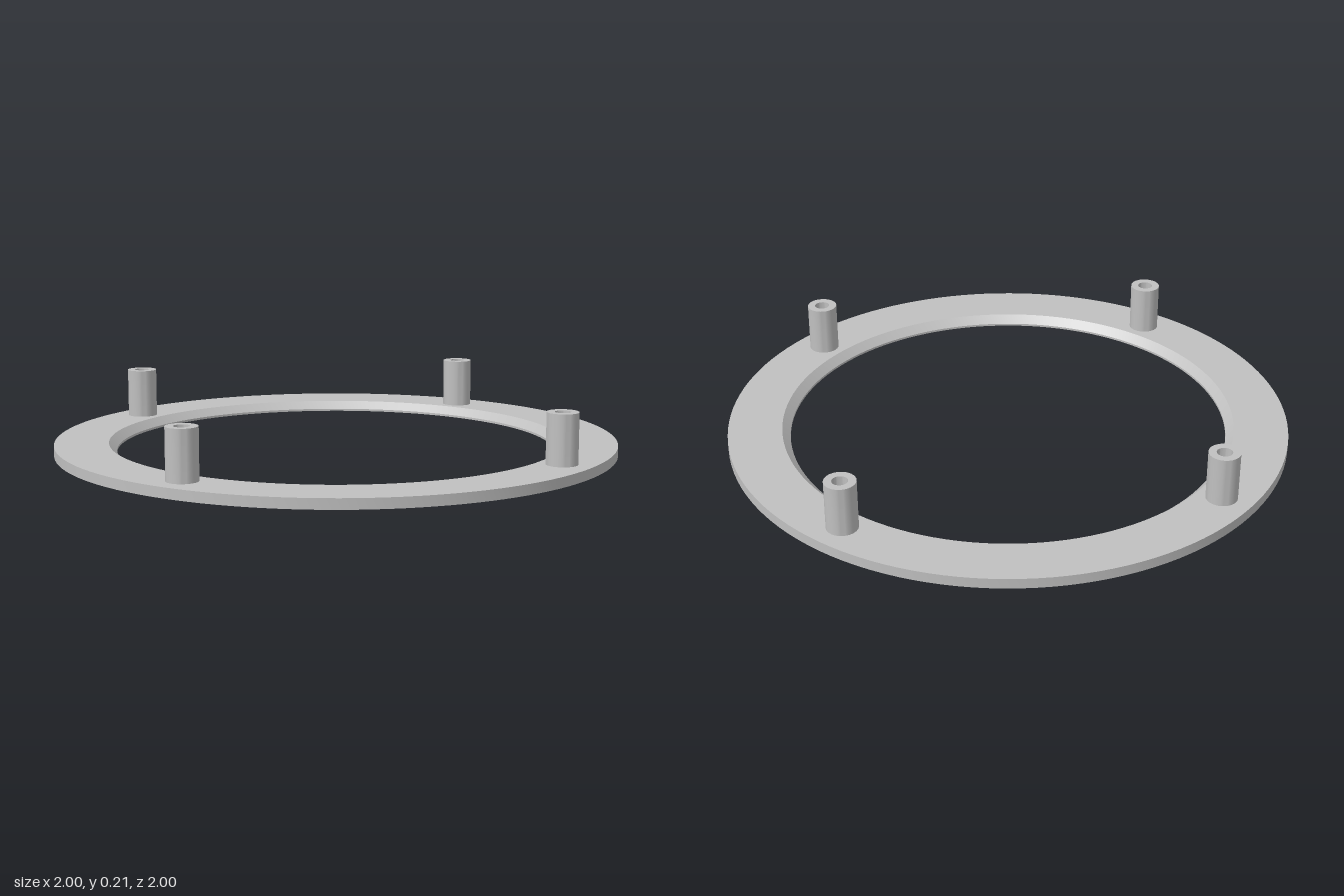
import * as THREE from 'three';
import { toCreasedNormals } from 'three/addons/utils/BufferGeometryUtils.js';

// Turned solid from a closed [radius, height] profile, listed counter-clockwise
function turned(profile, segments) {
  const points = profile.map(([r, y]) => new THREE.Vector2(r, y));
  return toCreasedNormals(new THREE.LatheGeometry(points, segments), 0.4);
}

export function createModel() {
  const model = new THREE.Group();
  model.name = 'mountingRing';
  const grey = new THREE.MeshStandardMaterial({ color: 0xc0c0c0 });
  grey.name = 'light grey';

  // Flat ring with a bevelled inner edge above a thin straight lip
  const plateTop = 0.036;
  const ring = new THREE.Mesh(turned([
    [0.78, 0], [1, 0], [1, plateTop], [0.808, plateTop], [0.78, 0.008], [0.78, 0],
  ], 128), grey);
  ring.name = 'ringPlate';
  model.add(ring);

  // Four hollow standoffs, open at the top
  const postTop = 0.212;
  const postGeometry = turned([
    [0.054, plateTop - 0.004], [0.054, postTop], [0.027, postTop],
    [0.027, plateTop + 0.002], [0, plateTop + 0.002],
  ], 40);
  for (const x of [-0.63, 0.63]) {
    for (const z of [-0.63, 0.63]) {
      const post = new THREE.Mesh(postGeometry, grey);
      post.name = `${z > 0 ? 'front' : 'back'}${x > 0 ? 'Left' : 'Right'}Standoff`;
      post.position.set(x, 0, z);
      model.add(post);
    }
  }
  return model;
}
